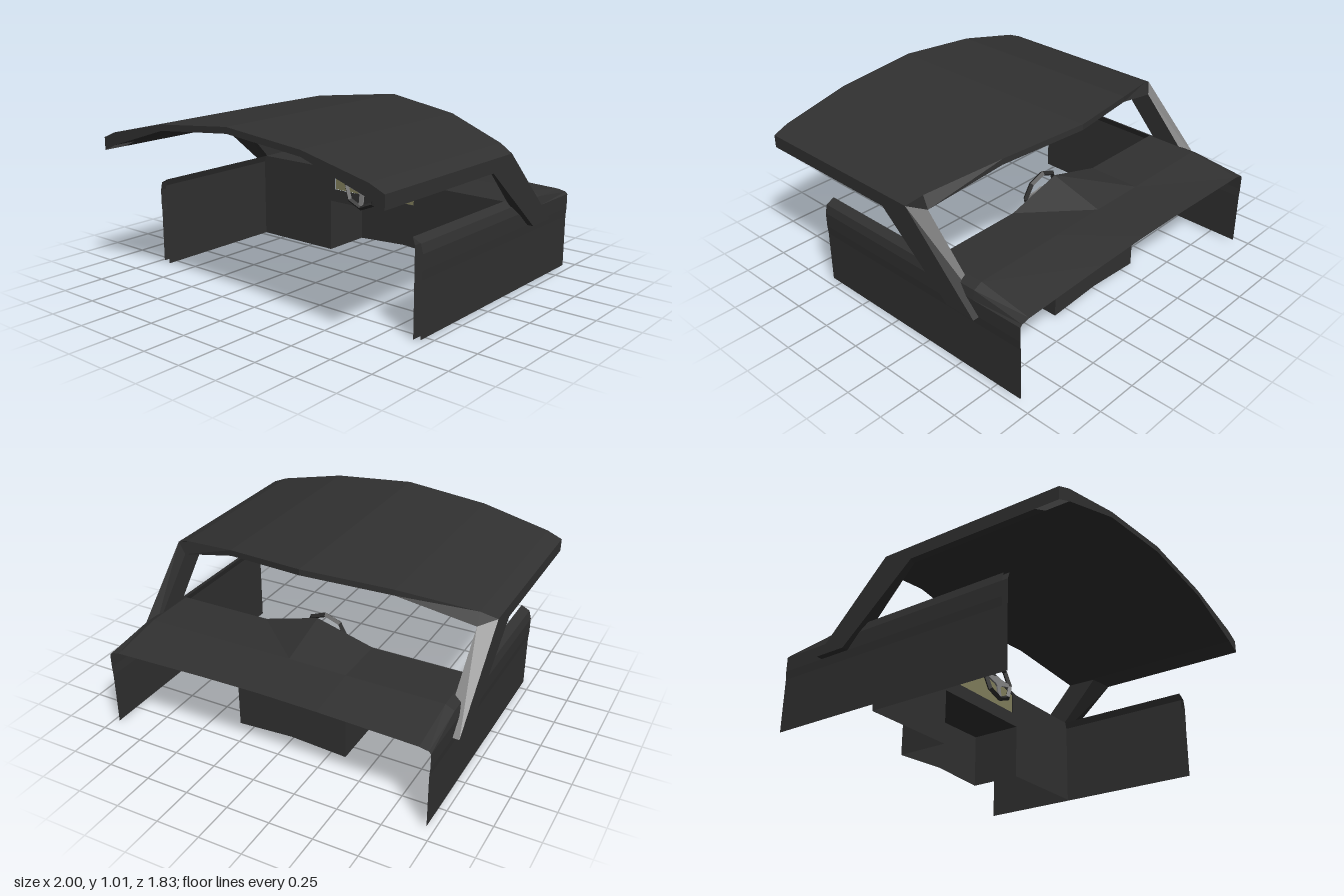
import * as THREE from 'three';

const mat = (name, color) => new THREE.MeshStandardMaterial({ name, color, side: THREE.DoubleSide });

// Flat-shaded surface from a list of four-cornered faces
function quads(list) {
  const pos = [];
  for (const [a, b, c, d] of list) pos.push(...a, ...b, ...c, ...a, ...c, ...d);
  const g = new THREE.BufferGeometry();
  g.setAttribute('position', new THREE.Float32BufferAttribute(pos, 3));
  g.computeVertexNormals();
  return g;
}

// Face on one side of the model, with corner order kept outward when mirrored
function sideFace(s, ...pts) {
  const q = pts.map(([x, y, z]) => [s * x, y, z]);
  return s > 0 ? q : q.reverse();
}

const shape = (pts) => new THREE.Shape(pts.map(([x, y]) => new THREE.Vector2(x, y)));

export function createModel() {
  const model = new THREE.Group();
  const trim = mat('dark trim', 0x313131);
  const rimMat = mat('wheel rim', 0x2b2b2b);
  const metal = mat('grey metal', 0x808080);
  const dial = mat('instrument olive', 0x84815e);

  const add = (name, geo, material, parent = model) => {
    const m = new THREE.Mesh(geo, material);
    m.name = name;
    parent.add(m);
    return m;
  };

  // Roof shell: stations of x, outer y, inner y, outer rear z, inner rear z
  const half = [[0, 1.01, 0.975, -0.475, -0.475], [0.5, 0.962, 0.928, -0.365, -0.365],
    [0.91, 0.868, 0.795, -0.215, -0.245], [1, 0.83, 0.755, -0.18, 0]];
  const st = [...half.slice(1).reverse().map(([x, ...r]) => [-x, ...r]), ...half];
  const F = 0.917, tip = 0.78;
  const shell = [];
  for (let i = 0; i < st.length - 1; i++) {
    const [x0, o0, n0, zo0, zn0] = st[i], [x1, o1, n1, zo1, zn1] = st[i + 1];
    const front = i === 0 ? tip : F;
    shell.push([[x0, o0, F], [x1, o1, F], [x1, o1, zo1], [x0, o0, zo0]]);
    shell.push([[x0, n0, F], [x1, n1, F], [x1, o1, F], [x0, o0, F]]);
    shell.push([[x1, n1, zn1], [x0, n0, zn0], [x0, o0, zo0], [x1, o1, zo1]]);
    shell.push([[x0, n0, zn0], [x1, n1, zn1], [x1, n1, front], [x0, n0, front]]);
  }
  for (const s of [1, -1]) {
    shell.push(sideFace(s, [1, 0.755, F], [1, 0.755, 0], [1, 0.83, -0.18], [1, 0.83, F]));
  }
  add('roof', quads(shell), trim);
  add('roofCornerPlate', quads([[[-1, 0.755, tip], [-0.91, 0.795, tip], [-0.91, 0.795, F], [-1, 0.755, F]]]), metal);

  // Sloping pillars
  for (const s of [1, -1]) {
    const face = (...p) => sideFace(s, ...p);
    const A = [1, 0.755, 0], B = [1, 0.83, -0.18], C = [1, 0.37, -0.64], D = [1, 0.37, -0.45];
    const a = [0.91, 0.79, -0.06], b = [0.91, 0.795, -0.245], c = [0.91, 0.37, -0.64], d = [0.91, 0.37, -0.45];
    const pillar = new THREE.Group();
    pillar.name = s > 0 ? 'leftPillar' : 'rightPillar';
    model.add(pillar);
    add('pillarBody', quads([face(A, D, C, B), face(a, b, c, d), face(A, a, d, D), face(D, d, c, C)]), trim, pillar);
    add('pillarRearFace', quads([face(B, C, c, b)]), s > 0 ? trim : metal, pillar);
  }

  // Side panels: an outer skin with a rounded shoulder and a flat inner skin, open between
  const skin = [[0.959, 0.01], [0.959, 0.32], [0.963, 0.37], [0.963, 0.455], [0.95, 0.505], [0.9, 0.53]];
  const skinRear = [[0.959, 0.01], [0.959, 0.32], [0.963, 0.37], [0.963, 0.455], [0.95, 0.468], [0.9, 0.478]];
  for (const s of [1, -1]) {
    const outer = [];
    for (let i = 0; i < skin.length - 1; i++) {
      const at = (p, z) => [p[i][0], p[i][1], z], next = (p, z) => [p[i + 1][0], p[i + 1][1], z];
      outer.push(sideFace(s, at(skin, 0.56), at(skin, -0.6), next(skin, -0.6), next(skin, 0.56)));
      outer.push(sideFace(s, at(skin, -0.6), at(skinRear, -F), next(skinRear, -F), next(skin, -0.6)));
    }
    const inner = [
      sideFace(s, [0.914, 0, -0.285], [0.914, 0, 0.56], [0.914, 0.49, 0.56], [0.914, 0.49, -0.285]),
      sideFace(s, [0.914, 0.49, -0.285], [0.914, 0.49, 0.56], [0.9, 0.53, 0.56], [0.9, 0.53, -0.285]),
    ];
    const panel = new THREE.Group();
    panel.name = s > 0 ? 'leftPanel' : 'rightPanel';
    model.add(panel);
    add('panelOuter', quads(outer), trim, panel);
    add('panelInner', quads(inner), trim, panel);
  }

  // Dashboard top: peaked hood in the middle, drooping towards the rear corners
  const rows = [
    [[0, 0.625, -0.285], [0.34, 0.53, -0.285], [0.9, 0.53, -0.285]],
    [[0, 0.532, -0.6], [0.34, 0.53, -0.6], [0.9, 0.53, -0.6]],
    [[0, 0.5, -F], [0.34, 0.495, -F], [0.9, 0.478, -F]],
  ];
  const top = [];
  for (const s of [1, -1]) for (let r = 0; r < 2; r++) for (let k = 0; k < 2; k++) {
    top.push(sideFace(s, rows[r][k + 1], rows[r + 1][k + 1], rows[r + 1][k], rows[r][k]));
  }
  add('dashboardTop', quads(top), trim);

  // Dashboard face with a footwell notch and an instrument opening
  const wall = shape([[-0.914, 0], [-0.34, 0], [-0.34, 0.32], [0.34, 0.32], [0.34, 0], [0.914, 0], [0.914, 0.49],
    [0.9, 0.53], [0.34, 0.53], [0, 0.625], [-0.34, 0.53], [-0.9, 0.53], [-0.914, 0.49]]);
  const opening = [[-0.3, 0.4], [0.3, 0.4], [0.3, 0.52], [0, 0.6], [-0.3, 0.52]];
  wall.holes.push(new THREE.Path(opening.map(([x, y]) => new THREE.Vector2(x, y))));
  add('dashboardFace', new THREE.ShapeGeometry(wall).translate(0, 0, -0.285), trim);
  add('instrumentPanel', new THREE.ShapeGeometry(shape(opening)).translate(0, 0, -0.29), dial);

  // Footwell recess
  const w = 0.34, h = 0.32, f = -0.285, k = -0.6;
  add('footwell', quads([
    [[-w, 0, f], [-w, 0, k], [-w, h, k], [-w, h, f]],
    [[w, 0, k], [w, 0, f], [w, h, f], [w, h, k]],
    [[-w, h, f], [-w, h, k], [w, h, k], [w, h, f]],
    [[-w, 0, k], [0, 0.02, k], [0, h, k], [-w, h, k]],
    [[0, 0.02, k], [w, 0, k], [w, h, k], [0, h, k]],
  ]), trim);

  // Steering wheel
  const wheel = new THREE.Group();
  wheel.name = 'steeringWheel';
  wheel.position.set(0, 0.48, -0.178);
  wheel.rotation.x = -0.13;
  model.add(wheel);
  const rim = new THREE.TorusGeometry(0.122, 0.016, 4, 8).toNonIndexed();
  rim.computeVertexNormals();
  add('wheelRim', rim, rimMat, wheel);
  const spokes = shape([[-0.11, 0.012], [-0.03, 0.015], [0, 0.028], [0.03, 0.015], [0.11, 0.012], [0.11, -0.008],
    [0.03, -0.03], [0.015, -0.045], [0.015, -0.11], [-0.015, -0.11], [-0.015, -0.045], [-0.03, -0.03], [-0.11, -0.008]]);
  add('wheelSpokes', new THREE.ExtrudeGeometry(spokes, { depth: 0.01, bevelEnabled: false }).translate(0, 0, -0.005), metal, wheel);

  return model;
}
